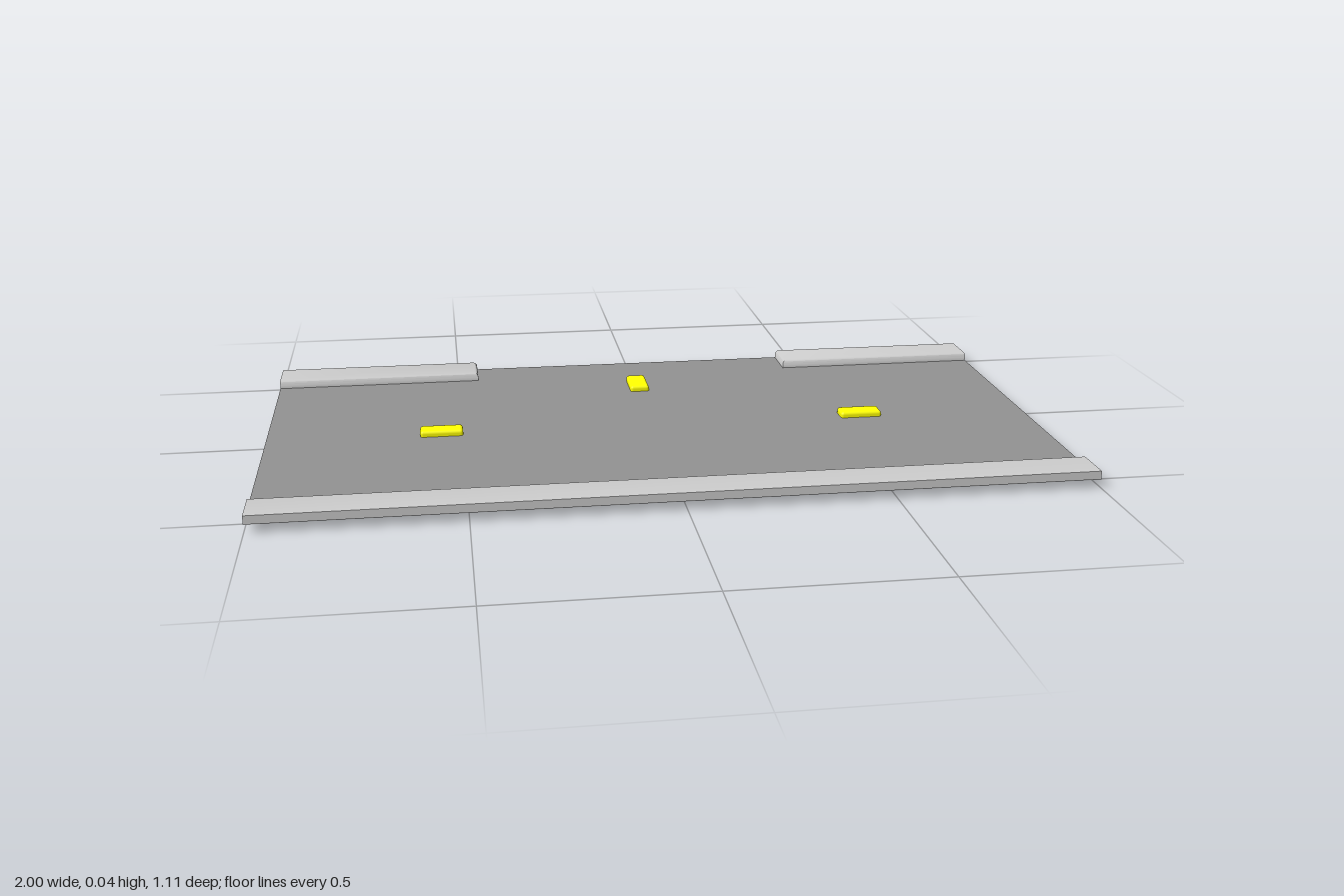
import * as THREE from 'three';
import { toCreasedNormals } from 'three/addons/utils/BufferGeometryUtils.js';
import { RoundedBoxGeometry } from 'three/addons/geometries/RoundedBoxGeometry.js';

const HALF_X = 1, HALF_Z = 0.555, INNER_Z = 0.445, GAP_X = 0.445;
const ROAD_Y = 0.021, CURB_TOP = 0.042, ROUND = 0.011;

const roadMat = new THREE.MeshStandardMaterial({ color: 0x909090, side: THREE.DoubleSide });
const curbMat = new THREE.MeshStandardMaterial({ color: 0xc0c0c0, side: THREE.DoubleSide });
const markerMat = new THREE.MeshStandardMaterial({ color: 0xffff00 });

// Hollow slab, open below: stacked rectangles that pull in along the rounded sides.
// roundL, roundR and roundBack are 1 for a rounded side and 0 for a straight one.
function curbGeometry(x0, x1, z0, z1, roundL, roundR, roundBack, roundFront) {
  const rings = [[ROAD_Y, 0]];
  for (let i = 0; i <= 4; i++) {
    const a = (i / 4) * Math.PI / 2;
    rings.push([CURB_TOP - ROUND + ROUND * Math.sin(a), ROUND * (1 - Math.cos(a))]);
  }
  const pos = [], index = [];
  for (const [y, d] of rings) {
    const l = x0 + d * roundL, r = x1 - d * roundR;
    const b = z0 + d * roundBack, f = z1 - d * roundFront;
    pos.push(l, y, f, r, y, f, r, y, b, l, y, b);
  }
  for (let k = 0; k < rings.length - 1; k++) {
    for (let i = 0; i < 4; i++) {
      const a = k * 4 + i, b = k * 4 + (i + 1) % 4;
      index.push(a, b, b + 4, a, b + 4, a + 4);
    }
  }
  const t = (rings.length - 1) * 4;
  index.push(t, t + 1, t + 2, t, t + 2, t + 3);
  const geo = new THREE.BufferGeometry();
  geo.setAttribute('position', new THREE.Float32BufferAttribute(pos, 3));
  geo.setIndex(index);
  return toCreasedNormals(geo, 0.6);
}

export function createModel() {
  const model = new THREE.Group();
  model.name = 'roadSection';
  const add = (name, geo, mat) => {
    const mesh = new THREE.Mesh(geo, mat);
    mesh.name = name;
    model.add(mesh);
    return mesh;
  };

  // Road surface, running out through the gap in the back curb
  const outline = new THREE.Shape([
    [-HALF_X, -INNER_Z], [HALF_X, -INNER_Z], [HALF_X, INNER_Z], [GAP_X, INNER_Z],
    [GAP_X, HALF_Z], [-GAP_X, HALF_Z], [-GAP_X, INNER_Z], [-HALF_X, INNER_Z],
  ].map(([x, y]) => new THREE.Vector2(x, y)));
  const road = new THREE.ShapeGeometry(outline);
  road.rotateX(-Math.PI / 2);
  road.translate(0, ROAD_Y, 0);
  add('roadSurface', road, roadMat);

  // Raised curbs
  add('frontCurb', curbGeometry(-HALF_X, HALF_X, INNER_Z, HALF_Z, 0, 0, 1, 0), curbMat);
  add('backCurbLeft', curbGeometry(GAP_X, HALF_X, -HALF_Z, -INNER_Z, 1, 0, 0, 1), curbMat);
  add('backCurbRight', curbGeometry(-HALF_X, -GAP_X, -HALF_Z, -INNER_Z, 0, 1, 0, 1), curbMat);

  // Lane markers set through the road
  const markerGeo = new RoundedBoxGeometry(0.11, 0.036, 0.052, 2, 0.008);
  const markers = [['markerLeft', 0.555, 0, 0], ['markerRight', -0.555, 0, 0], ['markerBack', 0, -0.335, Math.PI / 2]];
  for (const [name, x, z, turn] of markers) {
    const marker = add(name, markerGeo, markerMat);
    marker.position.set(x, 0.018, z);
    marker.rotation.y = turn;
  }
  return model;
}
